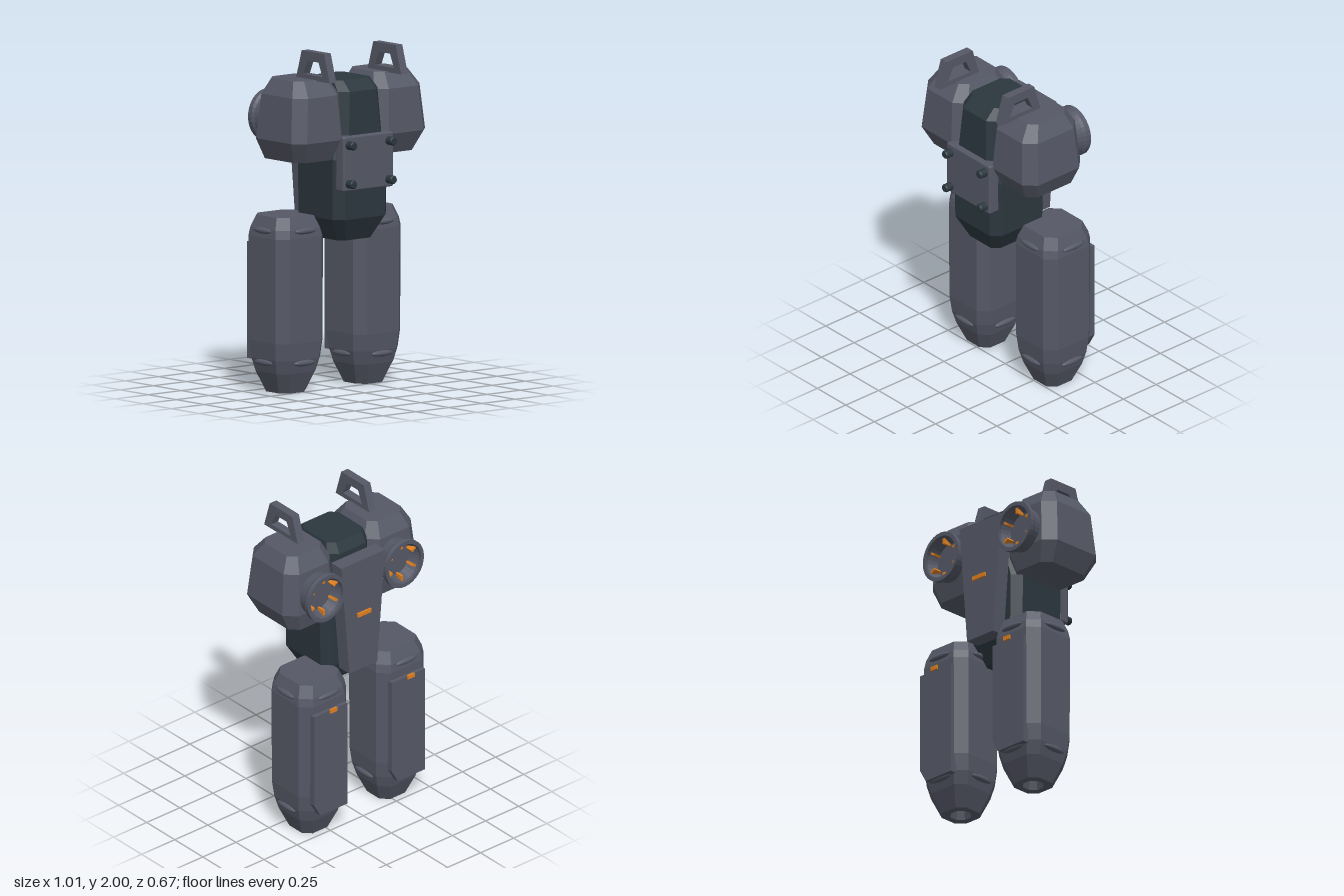
import * as THREE from 'three';
import { RoundedBoxGeometry } from 'three/addons/geometries/RoundedBoxGeometry.js';

const flat = (name, color, extra = {}) =>
  Object.assign(new THREE.MeshStandardMaterial({ color, ...extra }), { name });

// Stacked chamfered-rectangle sections, bottom to top: [y, x0, x1, z0, z1, chamfer]
function loft(sections) {
  const pos = [];
  const rings = sections.map(([y, x0, x1, z0, z1, c]) => [
    [x1, y, z0 + c], [x1, y, z1 - c], [x1 - c, y, z1], [x0 + c, y, z1],
    [x0, y, z1 - c], [x0, y, z0 + c], [x0 + c, y, z0], [x1 - c, y, z0]]);
  const centre = ([y, x0, x1, z0, z1]) => [(x0 + x1) / 2, y, (z0 + z1) / 2];
  const tri = (...p) => p.forEach((v) => pos.push(...v));
  const n = rings.length - 1;
  for (let i = 0; i < 8; i++) {
    const j = (i + 1) % 8;
    for (let k = 0; k < n; k++) {
      const a = rings[k], b = rings[k + 1];
      tri(a[i], b[i], b[j]);
      tri(a[i], b[j], a[j]);
    }
    tri(centre(sections[0]), rings[0][i], rings[0][j]);
    tri(centre(sections[n]), rings[n][j], rings[n][i]);
  }
  const g = new THREE.BufferGeometry();
  g.setAttribute('position', new THREE.Float32BufferAttribute(pos, 3));
  g.computeVertexNormals();
  return g;
}

const polygon = (pts, Type = THREE.Shape) => new Type(pts.map((p) => new THREE.Vector2(...p)));
const extrude = (shape, depth) => new THREE.ExtrudeGeometry(shape, { depth, bevelEnabled: false });

export function createModel() {
  const grey = flat('grey armour', 0x555866);
  const dark = flat('dark frame', 0x2b373e);
  const orange = flat('orange marking', 0xe08020);
  const model = new THREE.Group();
  model.name = 'thrusterPack';

  const add = (parent, name, geometry, material, x = 0, y = 0, z = 0) => {
    const mesh = new THREE.Mesh(geometry, material);
    mesh.name = name;
    mesh.position.set(x, y, z);
    parent.add(mesh);
    return mesh;
  };

  // Central frame
  add(model, 'body', loft([
    [0.89, -0.13, 0.13, -0.1, 0.19, 0.04],
    [1.02, -0.2, 0.2, -0.155, 0.25, 0.05],
    [1.37, -0.205, 0.205, -0.155, 0.255, 0.05],
    [1.5, -0.17, 0.17, -0.155, 0.25, 0.05],
    [1.76, -0.15, 0.15, -0.155, 0.235, 0.05],
    [1.82, -0.135, 0.135, -0.12, 0.17, 0.04],
  ]), dark);

  // Front mounting plate with four bolts
  add(model, 'frontPlate', new RoundedBoxGeometry(0.38, 0.32, 0.075, 2, 0.012), grey, 0, 1.35, 0.2475);
  for (const x of [-0.15, 0.15]) for (const y of [1.235, 1.46]) {
    const bolt = new THREE.LatheGeometry([[0, 0], [0.025, 0], [0.025, 0.055], [0.02, 0.062], [0, 0.062]]
      .map((p) => new THREE.Vector2(...p)), 16).toNonIndexed();
    bolt.computeVertexNormals();
    bolt.rotateX(Math.PI / 2);
    add(model, 'bolt', bolt, dark, x, y, 0.273);
  }

  // Tapered back plate and its marking
  add(model, 'backPlate', extrude(polygon([[-0.105, 1.0], [0.105, 1.0], [0.165, 1.73], [-0.165, 1.73]]), 0.09),
    grey, 0, 0, -0.25);
  add(model, 'backPlateMark', new THREE.BoxGeometry(0.1, 0.025, 0.012), orange, 0, 1.375, -0.259);

  // Shapes shared by both sides
  const handleShape = polygon([[-0.015, 0], [0.285, 0], [0.235, 0.165], [0.035, 0.165]]);
  handleShape.holes.push(polygon([[0.05, 0.03], [0.085, 0.11], [0.185, 0.11], [0.22, 0.03]], THREE.Path));
  const handleGeo = extrude(handleShape, 0.05).rotateY(-Math.PI / 2).translate(0.025, 0, 0);

  const nozzleGeo = new THREE.LatheGeometry([
    [0, 0.055], [0.105, 0.055], [0.128, 0.115], [0.128, 0.135], [0.152, 0.135], [0.152, 0.105],
    [0.14, 0.09], [0.125, 0],
  ].reverse().map((p) => new THREE.Vector2(...p)), 32).toNonIndexed();
  nozzleGeo.computeVertexNormals();
  nozzleGeo.rotateX(-Math.PI / 2);

  // Square section centred on the leg axis
  const sq = (y, h, c) => [y, -h, h, -h, h, c];
  const legGeo = loft([
    sq(0.07, 0.045, 0.026), sq(0, 0.06, 0.035), sq(0, 0.1, 0.045),
    sq(0.12, 0.148, 0.055), sq(0.2, 0.168, 0.06), sq(0.3, 0.178, 0.06),
    sq(0.91, 0.18, 0.06), sq(0.96, 0.172, 0.06), sq(1.03, 0.145, 0.055),
  ]);
  const ridgeGeo = new THREE.SphereGeometry(1, 16, 10).scale(0.08, 0.018, 0.018);
  const panelGeo = extrude(polygon([
    [-0.12, 0.18], [0.085, 0.18], [0.13, 0.26], [0.13, 0.86], [-0.12, 0.86]]), 0.04);

  for (const s of [-1, 1]) {
    const side = s > 0 ? 'left' : 'right';

    // Shoulder pod
    const section = (y, inner, outer, z0, z1, c) =>
      [y, Math.min(s * inner, s * outer), Math.max(s * inner, s * outer), z0, z1, c];
    add(model, side + 'Pod', loft([
      section(1.37, 0.16, 0.45, -0.16, 0.195, 0.05),
      section(1.49, 0.115, 0.505, -0.19, 0.255, 0.065),
      section(1.75, 0.13, 0.48, -0.17, 0.235, 0.065),
      section(1.84, 0.175, 0.43, -0.12, 0.165, 0.045),
    ]), grey);

    // Carrying handle
    add(model, side + 'Handle', handleGeo, grey, s * 0.27, 1.835, 0);

    // Rear nozzle with glowing fins
    const nozzle = new THREE.Group();
    nozzle.name = side + 'Nozzle';
    nozzle.position.set(s * 0.295, 1.593, -0.14);
    nozzle.scale.x = 0.94;
    add(nozzle, 'nozzleShell', nozzleGeo, flatDouble(grey));
    for (let i = 0; i < 6; i++) {
      const a = (i + 0.5) * Math.PI / 3;
      const fin = add(nozzle, 'nozzleFin', new THREE.BoxGeometry(0.035, 0.014, 0.05), orange,
        Math.cos(a) * 0.107, Math.sin(a) * 0.107, -0.085);
      fin.rotation.z = a;
    }
    model.add(nozzle);

    // Hanging leg tank with ridges, rear panel and marking
    const leg = new THREE.Group();
    leg.name = side + 'Leg';
    leg.position.set(s * 0.293, 0, -0.11);
    add(leg, 'legShell', legGeo, grey);
    for (const [y, r] of [[0.18, 0.167], [0.95, 0.176]]) for (let i = 0; i < 4; i++) {
      const a = i * Math.PI / 2;
      add(leg, 'legRidge', ridgeGeo, grey, Math.sin(a) * r, y, Math.cos(a) * r).rotation.y = a;
    }
    add(leg, 'legPanel', panelGeo, grey, 0, 0, -0.203);
    add(leg, 'legMark', new THREE.BoxGeometry(0.05, 0.025, 0.012), orange, 0, 0.865, -0.219);
    model.add(leg);
  }
  return model;
}

// Makes a material visible from both sides
function flatDouble(material) {
  material.side = THREE.DoubleSide;
  return material;
}
